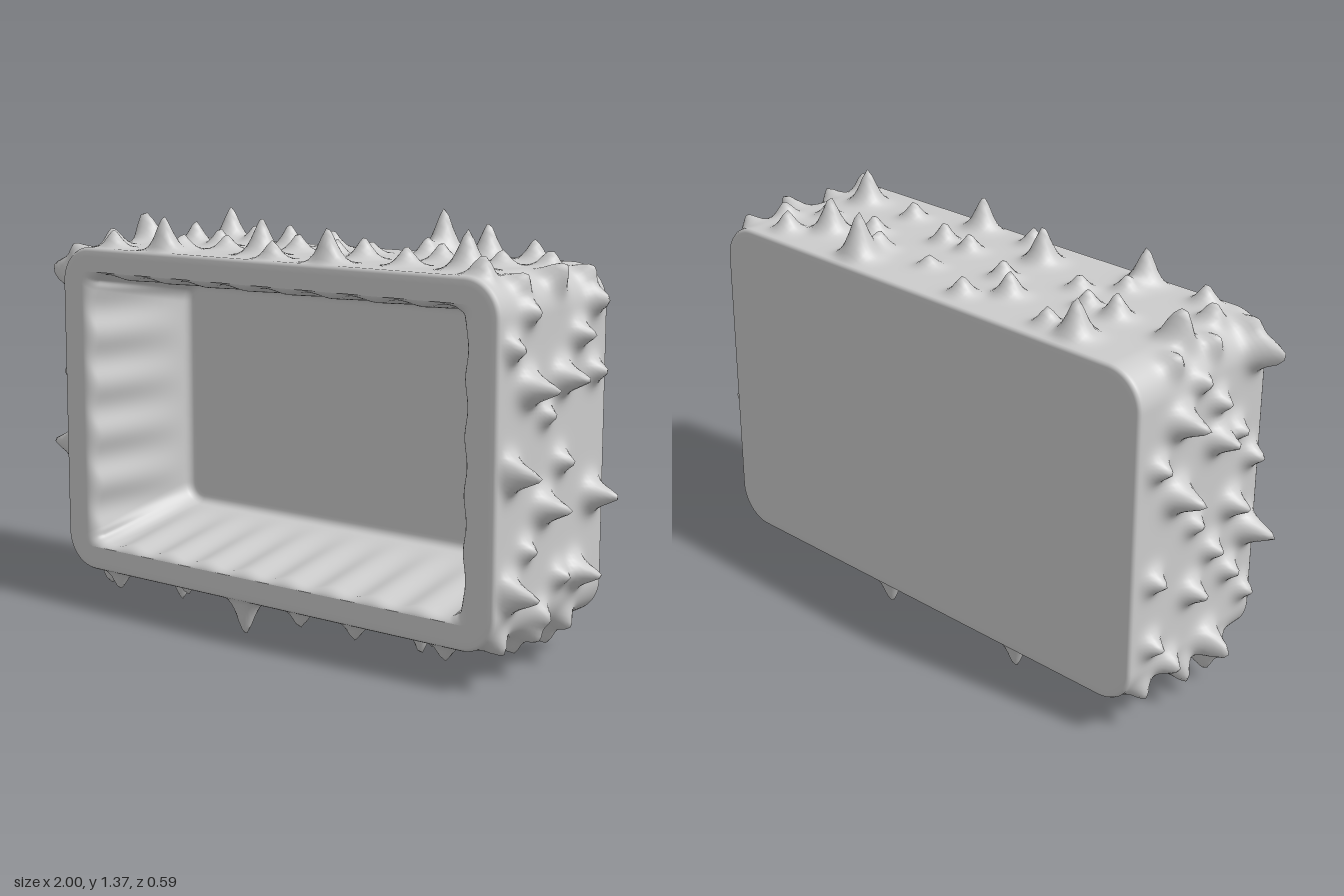
import * as THREE from 'three';

const HW = 0.88, HH = 0.55, R = 0.12, CY = 0.675, D = 0.297;
const ROWS = [0.24, 0.15, 0.06, -0.03, -0.12, -0.21];

// Rounded rectangle, counter-clockwise, always with the same number of samples
function outline(hw, hh, r, cy) {
  const pts = [];
  const corners = [[1, -1], [1, 1], [-1, 1], [-1, -1]];
  corners.forEach(([sx, sy], c) => {
    const cx = sx * (hw - r), cyy = cy + sy * (hh - r);
    for (let k = 0; k < 16; k++) {
      const a = (c - 1) * Math.PI / 2 + (k / 16) * Math.PI / 2;
      pts.push({ x: cx + r * Math.cos(a), y: cyy + r * Math.sin(a), nx: Math.cos(a), ny: Math.sin(a) });
    }
    const a = c * Math.PI / 2, nx = Math.cos(a), ny = Math.sin(a);
    const [tx, ty] = corners[(c + 1) % 4];
    const ex = tx * (hw - r), ey = cy + ty * (hh - r);
    const n = c % 2 ? 120 : 68;
    for (let k = 0; k < n; k++) {
      const t = k / n;
      pts.push({ x: cx + (ex - cx) * t + r * nx, y: cyy + (ey - cyy) * t + r * ny, nx, ny });
    }
  });
  return pts;
}

// Spikes are listed per depth row as [position along the face, height]
function makeSpikes() {
  const spikes = [];
  const add = (x, y, z, h) => spikes.push({ x, y, z, h, r: 0.027 + 0.1 * h });
  const top = [
    [[-0.69, 0.06], [-0.46, 0.115], [0, 0.06], [0.22, 0.11], [0.78, 0.06]],
    [[-0.78, 0.06], [-0.46, 0.05], [-0.12, 0.12], [0.45, 0.06], [0.67, 0.12]],
    [[-0.35, 0.05], [0.11, 0.06], [0.22, 0.07]],
    [[-0.79, 0.11], [-0.57, 0.08], [-0.46, 0.06], [-0.12, 0.06], [0.45, 0.06], [0.67, 0.05]],
    [[-0.23, 0.08], [0.11, 0.04], [0.33, 0.06], [0.56, 0.12], [0.78, 0.05]],
    [[-0.57, 0.12], [-0.46, 0.06], [-0.12, 0.06], [0.33, 0.15], [0.67, 0.07]],
  ];
  const bottom = [
    [[-0.69, 0.07], [-0.12, 0.125], [0.11, 0.06], [0.33, 0.06], [0.67, 0.06]],
    [[-0.8, 0.1], [-0.46, 0.07], [-0.23, 0.06], [0, 0.06], [0.56, 0.06]],
    [[-0.57, 0.125], [-0.35, 0.06], [0.11, 0.05], [0.45, 0.125], [0.78, 0.06]],
    [[-0.69, 0.06], [-0.23, 0.05], [0, 0.08], [0.33, 0.07], [0.67, 0.1]],
    [[-0.46, 0.06], [-0.12, 0.06], [0.22, 0.06], [0.56, 0.08], [0.78, 0.07]],
    [[-0.57, 0.06], [-0.35, 0.125], [0, 0.06], [0.22, 0.125], [0.45, 0.06]],
  ];
  const left = [
    [[1.02, 0.06], [0.66, 0.12], [0.305, 0.12]],
    [[1.115, 0.05], [0.9, 0.12], [0.42, 0.05]],
    [[0.81, 0.05], [0.535, 0.11], [0.21, 0.05]],
    [[0.91, 0.11], [0.66, 0.06], [0.31, 0.05]],
    [[1.03, 0.07], [0.305, 0.11]],
    [[1.12, 0.06], [0.91, 0.06], [0.53, 0.11]],
  ];
  const right = [
    [[1.125, 0.11], [0.79, 0.06], [0.54, 0.12], [0.32, 0.05]],
    [[0.91, 0.06], [0.66, 0.085], [0.43, 0.06]],
    [[1.03, 0.06], [0.91, 0.1], [0.54, 0.06], [0.22, 0.11]],
    [[1.12, 0.05], [0.66, 0.05], [0.43, 0.08]],
    [[1.03, 0.12], [0.79, 0.12], [0.22, 0.06]],
    [[0.91, 0.06], [0.54, 0.06], [0.32, 0.06]],
  ];
  ROWS.forEach((z, i) => {
    top[i].forEach(([x, h]) => add(x, CY + HH, z, h));
    bottom[i].forEach(([x, h]) => add(x, CY - HH, z, h));
    left[i].forEach(([y, h]) => add(HW, y, z, h));
    right[i].forEach(([y, h]) => add(-HW, y, z, h));
  });

  // Small diagonal spikes on the rounded corners
  const e = R * (1 - Math.SQRT1_2);
  for (const sx of [-1, 1]) for (const sy of [-1, 1]) {
    for (let i = sx * sy > 0 ? 1 : 0; i < 6; i += 2) {
      add(sx * (HW - e), CY + sy * (HH - e), ROWS[i], i === 3 ? 0.075 : 0.05);
    }
  }
  return spikes;
}

// Skin a stack of rings, each an array of [x, y, z]
function loft(rings) {
  const n = rings[0].length, index = [];
  for (let i = 0; i < rings.length - 1; i++) for (let j = 0; j < n; j++) {
    const k = (j + 1) % n;
    const a = i * n + j, b = i * n + k, c = (i + 1) * n + k, d = (i + 1) * n + j;
    index.push(a, b, c, a, c, d);
  }
  const g = new THREE.BufferGeometry();
  g.setAttribute('position', new THREE.Float32BufferAttribute(rings.flat(2), 3));
  g.setIndex(index);
  g.computeVertexNormals();
  return g;
}

const smooth = THREE.MathUtils.smoothstep;

export function createModel() {
  const group = new THREE.Group();
  const material = new THREE.MeshStandardMaterial({ color: 0xcccccc });
  const plain = (inset, z) =>
    outline(HW - inset, HH - inset, Math.max(R - inset, 0.04), CY).map(p => [p.x, p.y, z]);

  // Spiked outer shell: flat back, bumpy sides, rounded front edge
  const spikes = makeSpikes();
  const base = outline(HW, HH, R, CY);
  const shell = [base.map(() => [0, CY, -D]), plain(0.03, -D), plain(0.012, -D), plain(0.004, -D + 0.003)];
  const steps = 50;
  for (let i = 0; i <= steps; i++) {
    const z = -D + 0.01 + (i / steps) * (2 * D - 0.02);
    const fade = smooth(D - Math.abs(z), 0.006, 0.045);
    shell.push(base.map(p => {
      let h = 0;
      for (const s of spikes) {
        const d = Math.hypot(p.x - s.x, p.y - s.y, z - s.z);
        if (d < 0.15) h += s.h * Math.exp(-Math.pow(d / s.r, 1.65));
      }
      h = Math.min(h, 0.148) * fade;
      return [p.x + p.nx * h, p.y + p.ny * h, z];
    }));
  }
  shell.push(plain(0.004, D - 0.003), plain(0.012, D), plain(0.03, D), plain(0.08, D));

  // Recess: rounded lip, gently rippled tapering walls, filleted floor
  const recess = (hw, hh, r, cy, z, ripple, cx = 0) => outline(hw, hh, r, cy).map(p => {
    const along = Math.abs(p.nx) > Math.abs(p.ny) ? p.y - CY : p.x;
    const flat = smooth(Math.max(Math.abs(p.nx), Math.abs(p.ny)), 0.75, 1);
    const w = ripple * flat * Math.cos(along * Math.PI * 2 / 0.17);
    return [p.x + cx + p.nx * w, p.y + p.ny * w, z];
  });
  const inner = [plain(0.08, D), recess(0.79, 0.477, 0.05, CY, D, 0)];
  for (let k = 1; k <= 6; k++) {
    const a = (k / 6) * Math.PI / 2;
    inner.push(recess(0.79 - 0.035 * Math.sin(a), 0.477 - 0.023 * Math.sin(a), 0.05, CY,
      D - 0.04 * (1 - Math.cos(a)), 0.008 * k / 6));
  }
  const floorZ = -0.15, cx = -0.008, cy = CY + 0.013;
  for (let k = 1; k <= 10; k++) {
    const t = k / 10;
    inner.push(recess(0.755 - 0.037 * t, 0.454 - 0.06 * t, 0.05 + 0.02 * t, CY + 0.013 * t,
      D - 0.04 - t * (D - 0.07 - floorZ), 0.008 * (1 - t * t), cx * t));
  }
  for (let k = 1; k <= 4; k++) {
    const a = (k / 4) * Math.PI / 2;
    const inset = 0.025 * (1 - Math.cos(a));
    inner.push(recess(0.718 - inset, 0.394 - inset, 0.07 - inset, cy, floorZ + 0.03 * (1 - Math.sin(a)), 0, cx));
  }
  inner.push(recess(0.68, 0.359, 0.04, cy, floorZ, 0, cx));
  inner.push(base.map(() => [cx, cy, floorZ]));

  for (const [name, rings] of [['spikedShell', shell], ['recess', inner]]) {
    const mesh = new THREE.Mesh(loft(rings), material);
    mesh.name = name;
    group.add(mesh);
  }
  return group;
}
